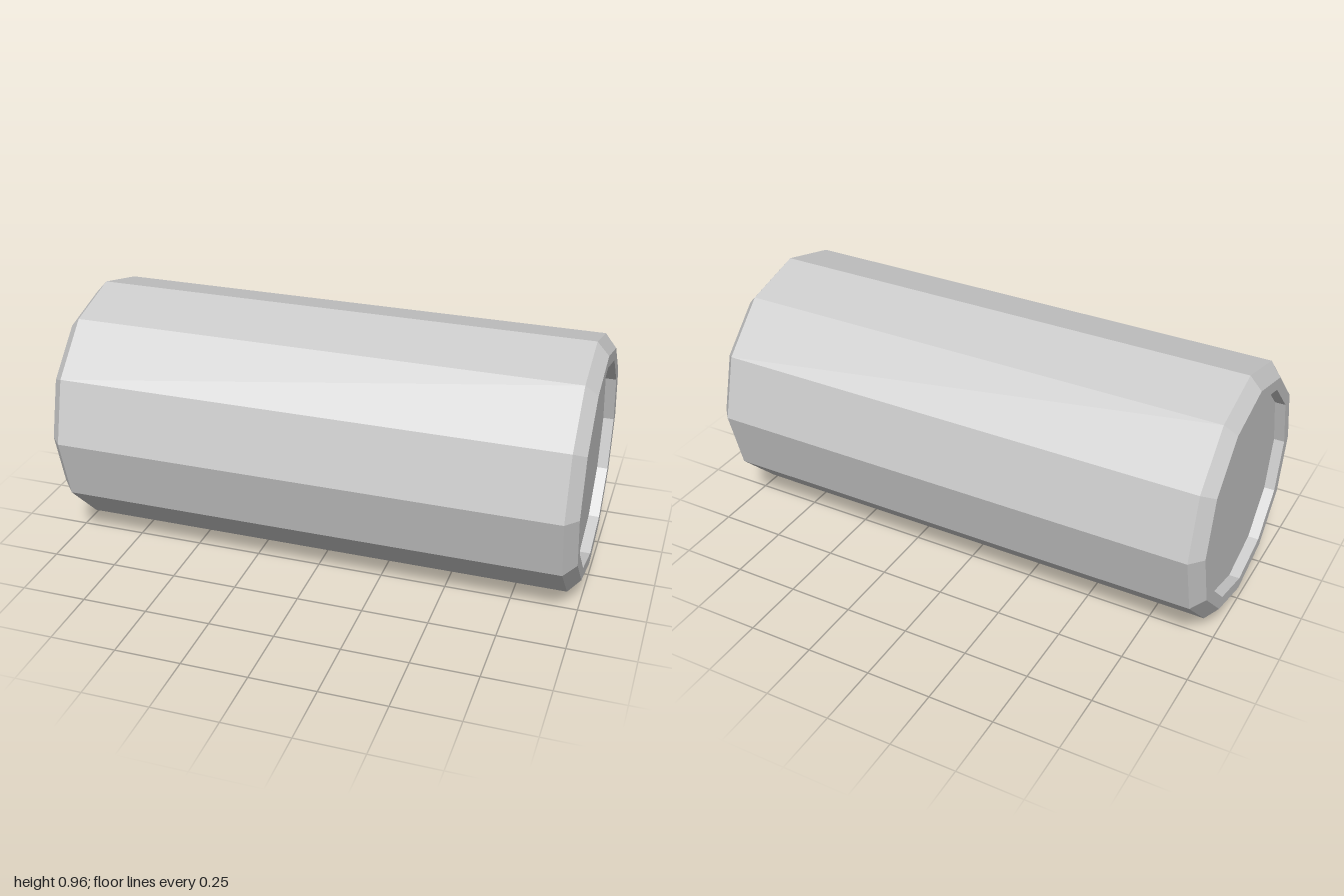
import * as THREE from 'three';

const SIDES = 12;
const R = 0.48, RIM = 0.43, INNER = 0.385; // body, rim and recess radii
const HALF = 1, SHOULDER = 0.955, FLOOR = 0.96; // distances along the axis

export function createModel() {
  const group = new THREE.Group();
  group.name = 'can';
  const material = new THREE.MeshStandardMaterial({ color: 0xcccccc, flatShading: true });

  // Faceted surface turned around the y axis from [radius, height] pairs
  const turned = (name, profile) => {
    const points = profile.map(([r, y]) => new THREE.Vector2(r, y));
    const geometry = new THREE.LatheGeometry(points, SIDES).toNonIndexed();
    geometry.computeVertexNormals();
    const mesh = new THREE.Mesh(geometry, material);
    mesh.name = name;
    return mesh;
  };

  const can = new THREE.Group();
  can.name = 'lyingCan';
  can.add(turned('body', [[R, -SHOULDER], [R, SHOULDER]]));

  // Both ends: chamfered shoulder, flat rim, recess wall and recessed lid
  for (const [side, turn] of [['right', 0], ['left', Math.PI]]) {
    const end = new THREE.Group();
    end.name = side + 'End';
    end.add(
      turned('rim', [[R, SHOULDER], [RIM, HALF], [INNER, HALF], [INNER, FLOOR]]),
      turned('lid', [[INNER, FLOOR], [0, FLOOR]])
    );
    end.rotation.x = turn;
    can.add(end);
  }

  // Lay the can along x, resting on the ground
  can.rotation.z = Math.PI / 2;
  can.position.y = R;
  group.add(can);
  return group;
}
